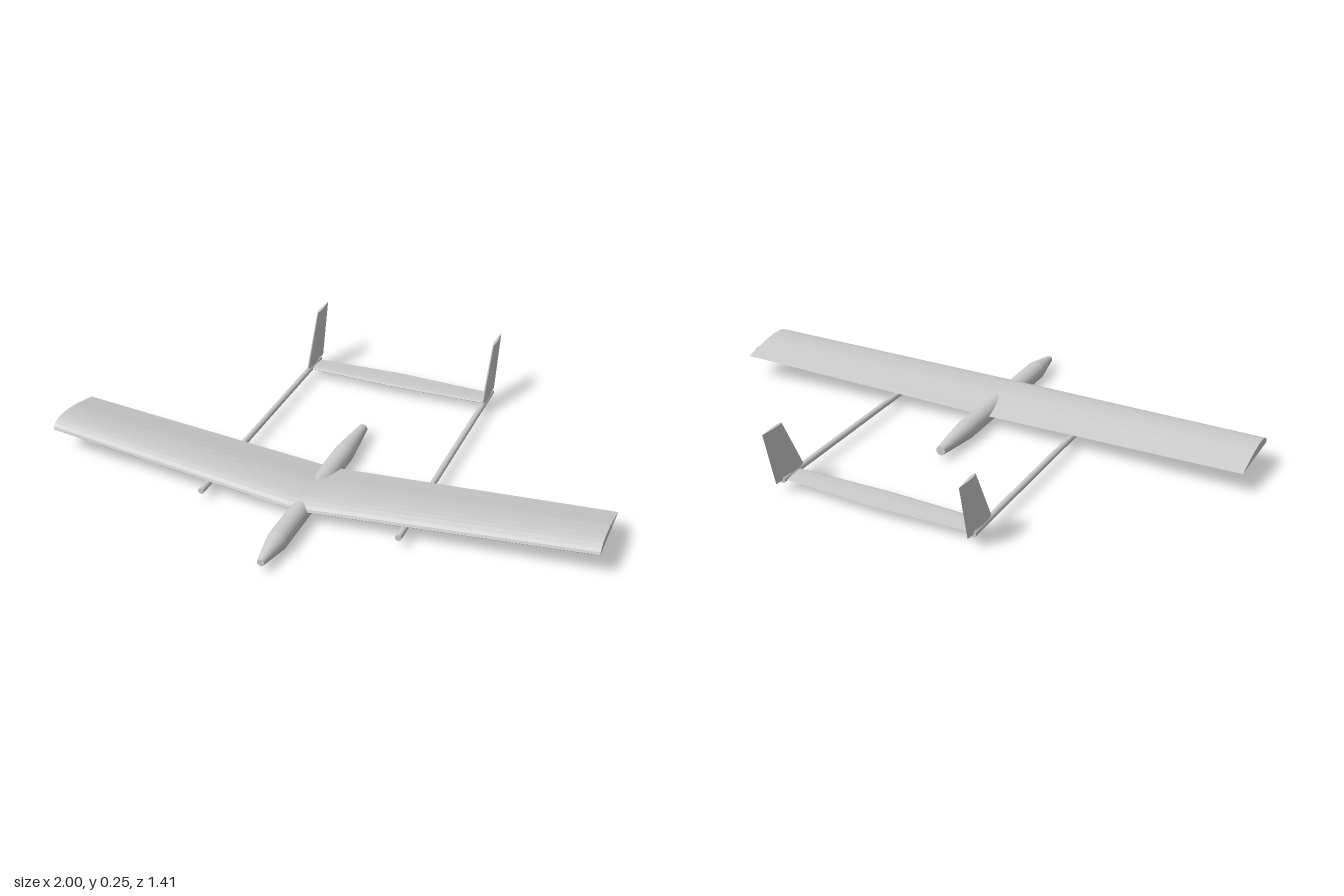
import * as THREE from 'three';

// Upper airfoil surface: [fraction of chord from leading edge, fraction of thickness]
const UPPER = [[1, 0], [0.8, 0.36], [0.65, 0.64], [0.5, 0.87], [0.38, 0.97], [0.27, 1],
  [0.18, 0.96], [0.11, 0.85], [0.05, 0.62], [0.015, 0.35], [0, 0.08]];
const FLAT_BOTTOM = [...UPPER, [0.01, 0]];
const SYMMETRIC = [
  ...UPPER.map(([c, h]) => [c, h / 2]),
  ...UPPER.slice(1).reverse().map(([c, h]) => [c, -h / 2]),
];

const flatMat = new THREE.MeshStandardMaterial({ color: 0xcccccc, flatShading: true });
const smoothMat = new THREE.MeshStandardMaterial({ color: 0xcccccc });

// Loft an airfoil along x; each station is { x, y, lead, trail, thick }
function loftFoil(name, profile, stations) {
  const rings = stations.map(s => profile.map(([c, h]) =>
    [s.x, s.y + h * s.thick, s.lead + (s.trail - s.lead) * c]));
  const n = profile.length;
  const pos = [];
  const tri = (a, b, c) => pos.push(...a, ...b, ...c);
  for (let r = 0; r < rings.length - 1; r++) {
    const A = rings[r], B = rings[r + 1];
    for (let i = 0; i < n; i++) {
      const j = (i + 1) % n;
      tri(A[i], A[j], B[j]);
      tri(A[i], B[j], B[i]);
    }
  }
  const first = rings[0], last = rings[rings.length - 1];
  for (let i = 1; i < n - 1; i++) {
    tri(first[0], first[i + 1], first[i]);
    tri(last[0], last[i], last[i + 1]);
  }
  const geo = new THREE.BufferGeometry();
  geo.setAttribute('position', new THREE.Float32BufferAttribute(pos, 3));
  geo.computeVertexNormals();
  const mesh = new THREE.Mesh(geo, flatMat);
  mesh.name = name;
  return mesh;
}

// Round body along z with capped ends, each segment shaded with a crisp joint
function roundBody(name, profile, sides) {
  const group = new THREE.Group();
  group.name = name;
  for (let i = 0; i < profile.length - 1; i++) {
    const [z0, r0] = profile[i], [z1, r1] = profile[i + 1];
    const geo = new THREE.CylinderGeometry(r1, r0, z1 - z0, sides, 1, true);
    geo.rotateX(Math.PI / 2).translate(0, 0, (z0 + z1) / 2);
    group.add(new THREE.Mesh(geo, smoothMat));
  }
  const ends = [[profile[0], Math.PI], [profile[profile.length - 1], 0]];
  for (const [[z, r], turn] of ends) {
    const cap = new THREE.CircleGeometry(r, sides).rotateY(turn).translate(0, 0, z);
    group.add(new THREE.Mesh(cap, smoothMat));
  }
  return group;
}

export function createModel() {
  const model = new THREE.Group();
  model.name = 'twinBoomGlider';

  // Slim fuselage with tapered nose and tail
  const fuselage = roundBody('fuselage',
    [[-0.18, 0.017], [0, 0.036], [0.58, 0.036], [0.705, 0.013]], 32);
  fuselage.position.y = 0.038;
  model.add(fuselage);

  // Main wing with dihedral and slight sweep
  const tip = { y: 0.088, lead: 0.33, trail: 0.07, thick: 0.034 };
  model.add(loftFoil('wing', FLAT_BOTTOM, [
    { x: -1, ...tip },
    { x: 0, y: 0.047, lead: 0.415, trail: 0.12, thick: 0.034 },
    { x: 1, ...tip },
  ]));

  // Tailplane between the booms
  const end = { y: 0.04, lead: -0.52, trail: -0.605, thick: 0.01 };
  model.add(loftFoil('tailplane', SYMMETRIC, [
    { x: -0.36, ...end },
    { x: 0, y: 0.04, lead: -0.51, trail: -0.62, thick: 0.012 },
    { x: 0.36, ...end },
  ]));

  // Tail booms and swept fins, one pair per side
  for (const [side, x] of [['left', 0.36], ['right', -0.36]]) {
    const boom = roundBody(side + 'Boom', [[-0.615, 0.011], [0.42, 0.011]], 16);
    boom.position.set(x, 0.041, 0);
    model.add(boom);

    const fin = loftFoil(side + 'Fin', SYMMETRIC, [
      { x: 0.042, y: 0, lead: -0.49, trail: -0.65, thick: 0.016 },
      { x: 0.25, y: 0, lead: -0.6, trail: -0.705, thick: 0.0105 },
    ]);
    fin.rotation.z = Math.PI / 2;
    fin.position.x = x;
    model.add(fin);
  }

  return model;
}
